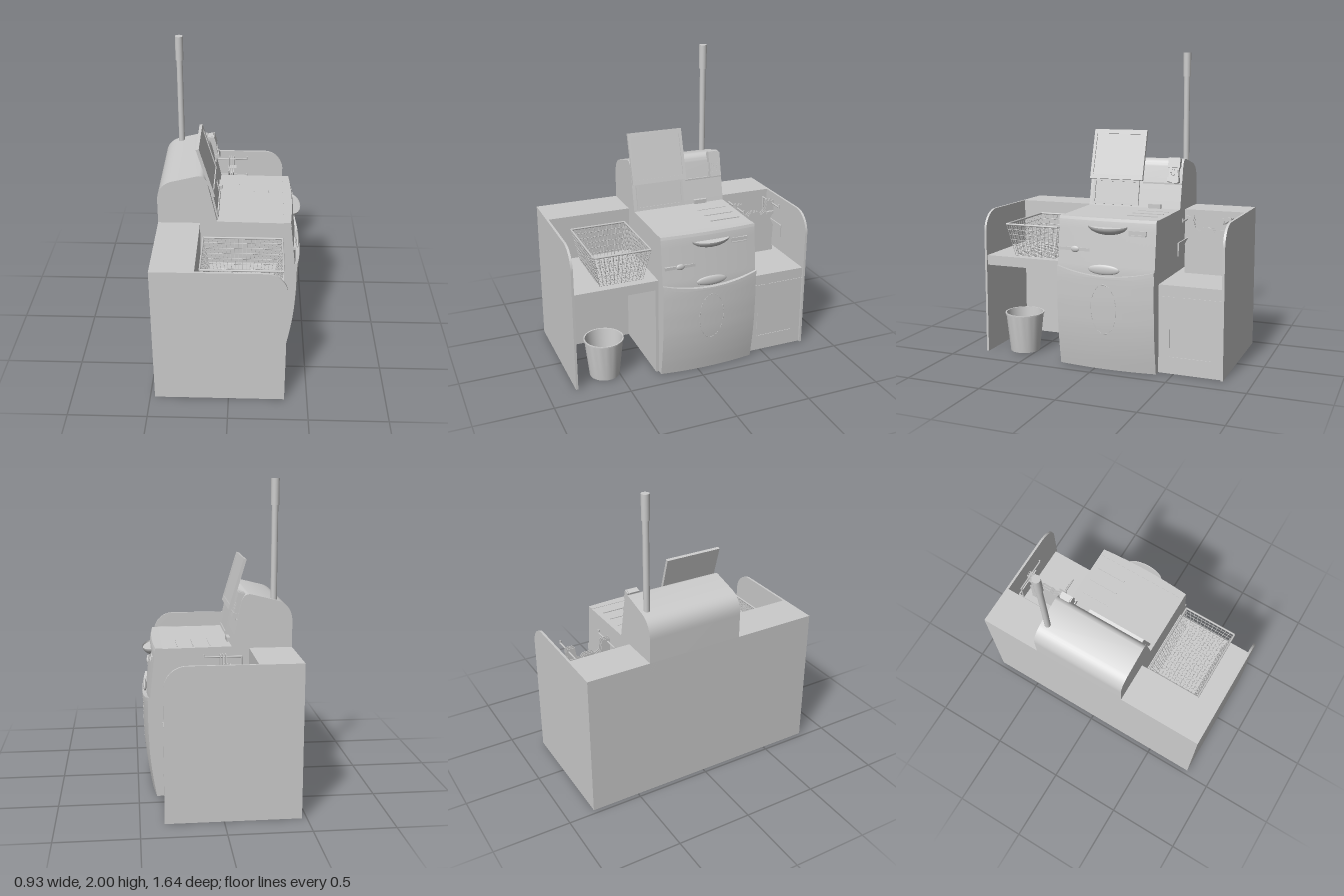
import * as THREE from 'three';
import { toCreasedNormals } from 'three/addons/utils/BufferGeometryUtils.js';

const MAT = new THREE.MeshStandardMaterial({ color: 0xcccccc, side: THREE.DoubleSide });
const CZ = -0.075, HALF = 0.325; // middle and half width of the centre unit along z

export function createModel() {
  const root = new THREE.Group();

  const add = (name, geo, parent = root) => {
    const m = new THREE.Mesh(geo, MAT);
    m.name = name;
    parent.add(m);
    return m;
  };
  const group = (name) => {
    const g = new THREE.Group();
    g.name = name;
    root.add(g);
    return g;
  };
  // box given by its limits on each axis
  const box = (name, x0, x1, y0, y1, z0, z1, parent) => {
    const m = add(name, new THREE.BoxGeometry(x1 - x0, y1 - y0, z1 - z0), parent);
    m.position.set((x0 + x1) / 2, (y0 + y1) / 2, (z0 + z1) / 2);
    return m;
  };
  // x-y outline swept from z0 to z1
  const slab = (name, shape, z0, z1, parent) => {
    const g = new THREE.ExtrudeGeometry(shape, { depth: z1 - z0, bevelEnabled: false, curveSegments: 10 });
    g.translate(0, 0, z0);
    return add(name, toCreasedNormals(g, 0.5), parent);
  };
  // thin straight rod between two points
  const rod = (name, a, b, r, parent) => {
    const p = new THREE.Vector3(...a), q = new THREE.Vector3(...b);
    const m = add(name, new THREE.CylinderGeometry(r, r, p.distanceTo(q), 6), parent);
    m.position.copy(p).add(q).multiplyScalar(0.5);
    m.quaternion.setFromUnitVectors(new THREE.Vector3(0, 1, 0), q.sub(p).normalize());
    return m;
  };

  // Rear cabinet and rounded end panels
  box('rearCabinet', -0.47, -0.2, 0, 0.96, -0.81, 0.81);
  const panel = new THREE.Shape();
  panel.moveTo(-0.47, 0).lineTo(0.355, 0).lineTo(0.355, 0.82);
  panel.absarc(0.215, 0.82, 0.14, 0, Math.PI / 2, false);
  panel.lineTo(-0.47, 0.96);
  slab('leftEndPanel', panel, 0.805, 0.82);
  slab('rightEndPanel', panel, -0.82, -0.805);

  // Centre body with the rounded hood at the back
  const body = new THREE.Shape();
  body.moveTo(-0.47, 0).lineTo(0.37, 0).lineTo(0.37, 0.965).lineTo(-0.09, 0.972).lineTo(-0.15, 1.25);
  body.quadraticCurveTo(-0.165, 1.305, -0.21, 1.298);
  body.lineTo(-0.38, 1.255);
  body.quadraticCurveTo(-0.47, 1.225, -0.47, 1.12);
  slab('centreBody', body, CZ - HALF, CZ + HALF);

  // Bulging front panels: x follows a height curve plus a bow across z
  const follow = (pts) => (y) => {
    const i = Math.max(1, pts.findIndex((p) => p[0] >= y));
    const [a, b] = [pts[i - 1], pts[i]];
    return a[1] + (b[1] - a[1]) * (y - a[0]) / (b[0] - a[0]);
  };
  const doorCurve = follow([[0, 0.385], [0.1, 0.403], [0.2, 0.417], [0.3, 0.427], [0.45, 0.434], [0.6, 0.435], [0.7, 0.43]]);
  const upperCurve = follow([[0.4, 0.43], [0.65, 0.42], [0.92, 0.39], [0.95, 0.385], [1, 0.37]]);
  const bow = (z) => 1 - ((z - CZ) / HALF) ** 2;
  const doorX = (y, z) => doorCurve(y) + 0.025 * bow(z);
  const upperX = (y, z) => upperCurve(y) + 0.015 * bow(z);
  const rim = (z) => 0.655 - 0.045 * bow(z);
  const bulge = (name, bottom, top, xAt, back = 0.36) => {
    const g = new THREE.BoxGeometry(1, 1, 2 * HALF, 1, 16, 24), p = g.attributes.position;
    for (let i = 0; i < p.count; i++) {
      const z = p.getZ(i) + CZ, y = bottom(z) + (p.getY(i) + 0.5) * (top(z) - bottom(z));
      p.setXYZ(i, p.getX(i) > 0 ? xAt(y, z) : back, y, z);
    }
    return add(name, toCreasedNormals(g, 0.5));
  };
  bulge('frontDoor', () => 0, (z) => rim(z), doorX);
  bulge('doorRim', (z) => rim(z) - 0.022, (z) => rim(z), (y, z) => doorX(y, z) + 0.004);
  bulge('upperFront', () => 0.58, () => 0.94, upperX);
  bulge('scannerEdge', () => 0.94, () => 0.968, (y, z) => upperX(y, z) + 0.004, 0.34);

  // Dashed oval on the door
  const oval = group('doorOval');
  for (let i = 0; i < 14; i++) {
    const at = (k) => {
      const a = (i + k) / 14 * Math.PI * 2, y = 0.4 + 0.16 * Math.sin(a), z = CZ + 0.085 * Math.cos(a);
      return [doorX(y, z), y, z];
    };
    rod('ovalDash', at(0), at(0.6), 0.002, oval);
  }

  // Handle on the rim, coin scoop, card slot and receipt slot
  const handle = add('rimHandle', new THREE.SphereGeometry(1, 24, 12));
  handle.scale.set(0.012, 0.032, 0.105);
  handle.position.set(0.447, 0.652, CZ);
  const scoop = new THREE.SphereGeometry(1, 24, 10, 0, Math.PI * 2, Math.PI / 2, Math.PI / 2);
  const scoopMesh = add('coinScoop', scoop);
  scoopMesh.scale.set(0.065, 0.06, 0.135);
  scoopMesh.position.set(0.395, 0.925, CZ - 0.01);
  scoopMesh.rotation.z = -0.2;
  const hollow = add('scoopFloor', new THREE.CircleGeometry(1, 24).rotateX(-Math.PI / 2));
  hollow.scale.set(0.062, 1, 0.13);
  hollow.position.set(0.395, 0.915, CZ - 0.01);
  hollow.rotation.z = -0.2;
  box('receiptSlot', 0.38, 0.408, 0.87, 0.9, -0.34, -0.225);
  box('receiptLip', 0.38, 0.416, 0.868, 0.876, -0.335, -0.23);
  box('cardSlot', 0.39, 0.423, 0.755, 0.775, 0.03, 0.235);
  const slotKnob = add('cardSlotKnob', new THREE.SphereGeometry(0.02, 16, 10));
  slotKnob.scale.set(0.5, 1, 1.5);
  slotKnob.position.set(0.42, 0.765, 0.13);

  // Scanner top ribs
  for (const x of [0.04, 0.145, 0.245]) box('scannerRib', x - 0.004, x + 0.004, 0.96, 0.973, -0.36, -0.155);

  // Tilted screen with raised bezel
  const screen = group('screen');
  screen.position.set(-0.16, 1.316, 0.06);
  screen.rotation.z = 0.29;
  box('screenPlate', -0.009, 0.004, -0.172, 0.172, -0.19, 0.19, screen);
  for (const s of [-1, 1]) {
    box('bezelSide', 0.004, 0.011, -0.172, 0.172, s * 0.18 - 0.01, s * 0.18 + 0.01, screen);
    box('bezelEnd', 0.004, 0.011, s * 0.157 - 0.015, s * 0.157 + 0.015, -0.17, 0.17, screen);
  }
  // Framed panel under the screen
  const lower = group('lowerPanel');
  lower.position.set(-0.112, 1.065, 0.06);
  lower.rotation.z = 0.2;
  box('lowerPlate', -0.02, 0.006, -0.085, 0.085, -0.165, 0.165, lower);
  for (const s of [-1, 1]) {
    box('lowerSide', 0, 0.014, -0.085, 0.085, s * 0.158 - 0.008, s * 0.158 + 0.008, lower);
    box('lowerEnd', 0, 0.014, s * 0.078 - 0.007, s * 0.078 + 0.007, -0.15, 0.15, lower);
  }
  box('hoodLedge', -0.15, -0.118, 1.132, 1.142, -0.395, -0.13);
  box('smallSensor', -0.11, -0.075, 0.96, 1.0, -0.27, -0.18);

  // Payment terminal
  const pad = group('paymentTerminal');
  pad.position.set(-0.135, 1.225, -0.345);
  pad.rotation.z = 0.26;
  box('terminalBody', -0.02, 0.015, -0.085, 0.085, -0.033, 0.033, pad);
  box('terminalHead', -0.015, 0.024, 0.015, 0.08, -0.041, 0.041, pad);
  box('terminalFoot', -0.015, 0.022, -0.08, -0.05, -0.04, 0.04, pad);
  for (let i = 0; i < 9; i++) {
    const y = -0.035 + Math.floor(i / 3) * 0.016, z = (i % 3 - 1) * 0.018;
    box('terminalKey', 0.014, 0.02, y, y + 0.01, z - 0.006, z + 0.006, pad);
  }

  // Status light pole
  const pole = add('pole', new THREE.CylinderGeometry(0.02, 0.02, 0.62, 20));
  pole.position.set(-0.357, 1.54, -0.357);
  const lamp = add('poleLamp', new THREE.CylinderGeometry(0.026, 0.026, 0.16, 20));
  lamp.position.set(-0.357, 1.92, -0.357);

  // Basket bay: shelf and inner wall
  box('basketShelf', -0.2, 0.345, 0.595, 0.66, 0.25, 0.806);
  box('bayInnerWall', -0.2, 0.345, 0, 0.6, 0.25, 0.27);

  // Wire basket, tapered towards the bottom
  const basket = group('wireBasket');
  const rect = (t) => { // limits at height fraction t
    const d = 0.042 * (1 - t);
    return { x0: -0.178 + d, x1: 0.332 - d, z0: 0.292 + d, z1: 0.664 - d, y: 0.664 + 0.212 * t };
  };
  const ring = (t, r) => {
    const { x0, x1, z0, z1, y } = rect(t);
    const c = [[x0, y, z0], [x1, y, z0], [x1, y, z1], [x0, y, z1]];
    c.forEach((p, i) => rod('basketRing', p, c[(i + 1) % 4], r, basket));
  };
  for (let i = 0; i <= 6; i++) ring(i / 6, i === 6 ? 0.007 : 0.002);
  const lo = rect(0), hi = rect(1), mix = (a, b, k) => a + (b - a) * k;
  for (let i = 0; i <= 18; i++) {
    const k = i / 18, a = mix(lo.x0, lo.x1, k), b = mix(hi.x0, hi.x1, k);
    rod('floorWire', [a, lo.y, lo.z0], [a, lo.y, lo.z1], 0.002, basket);
    for (const e of ['z0', 'z1']) rod('sideWire', [a, lo.y, lo[e]], [b, hi.y, hi[e]], 0.002, basket);
  }
  for (let i = 0; i <= 12; i++) {
    const k = i / 12, a = mix(lo.z0, lo.z1, k), b = mix(hi.z0, hi.z1, k);
    rod('floorWire', [lo.x0, lo.y, a], [lo.x1, lo.y, a], 0.002, basket);
    for (const e of ['x0', 'x1']) rod('endWire', [lo[e], lo.y, a], [hi[e], hi.y, b], 0.002, basket);
  }

  // Waste bin
  const binProfile = [[0, 0.004], [0.098, 0.004], [0.126, 0.258], [0.131, 0.258], [0.131, 0.266], [0.122, 0.266], [0.094, 0.012], [0, 0.012]];
  const bin = add('wasteBin', toCreasedNormals(new THREE.LatheGeometry(binProfile.map((p) => new THREE.Vector2(...p)), 32), 0.5));
  bin.position.set(0.233, 0, 0.59);

  // Bagging cabinet: hollow, with drawer and door lines
  box('cabinetTop', -0.2, 0.34, 0.55, 0.565, -0.806, -0.4);
  box('cabinetFront', 0.325, 0.34, 0, 0.565, -0.806, -0.4);
  box('drawerLine', 0.338, 0.344, 0.488, 0.493, -0.806, -0.55);
  box('drawerLine', 0.338, 0.344, 0.488, 0.493, -0.52, -0.4);
  box('doorLine', 0.338, 0.344, 0.105, 0.11, -0.74, -0.47);
  box('doorLine', 0.338, 0.344, 0.105, 0.285, -0.475, -0.47);

  // Bag rack: straps, hanger arms and a notched hanging sheet
  const rack = group('bagRack');
  box('backStrap', -0.147, -0.14, 0.69, 0.78, -0.782, -0.436, rack);
  for (const s of [-1, 1]) {
    const z = -0.609 + s * 0.17;
    box('sideStrap', -0.145, 0.07, 0.69, 0.78, z - 0.004, z + 0.004, rack);
    const a = -0.609 + s * 0.135;
    rod('hangerArm', [-0.145, 0.925, a], [0.09, 0.925, a], 0.006, rack);
    rod('armTip', [0.09, 0.92, a], [0.09, 0.945, a], 0.006, rack);
    rod('armPost', [-0.142, 0.565, a], [-0.142, 0.925, a], 0.006, rack);
  }
  const half = [[0.15, 0.57], [0.145, 0.66], [0.15, 0.76], [0.125, 0.81], [0.15, 0.86], [0.15, 0.945], [0.095, 0.945], [0.085, 0.87], [0.05, 0.85], [0.03, 0.875]];
  const outline = [...half, ...half.slice().reverse().map(([z, y]) => [-z, y])];
  const sheet = new THREE.Shape(outline.map(([z, y]) => new THREE.Vector2(z, y)));
  for (const x of [-0.045, -0.028, -0.012]) {
    const g = new THREE.ExtrudeGeometry(sheet, { depth: 0.004, bevelEnabled: false }).rotateY(Math.PI / 2);
    add('hangingBag', g, rack).position.set(x, 0, -0.609);
  }
  box('bagClip', -0.05, 0.01, 0.85, 0.87, -0.75, -0.7, rack);
  return root;
}
